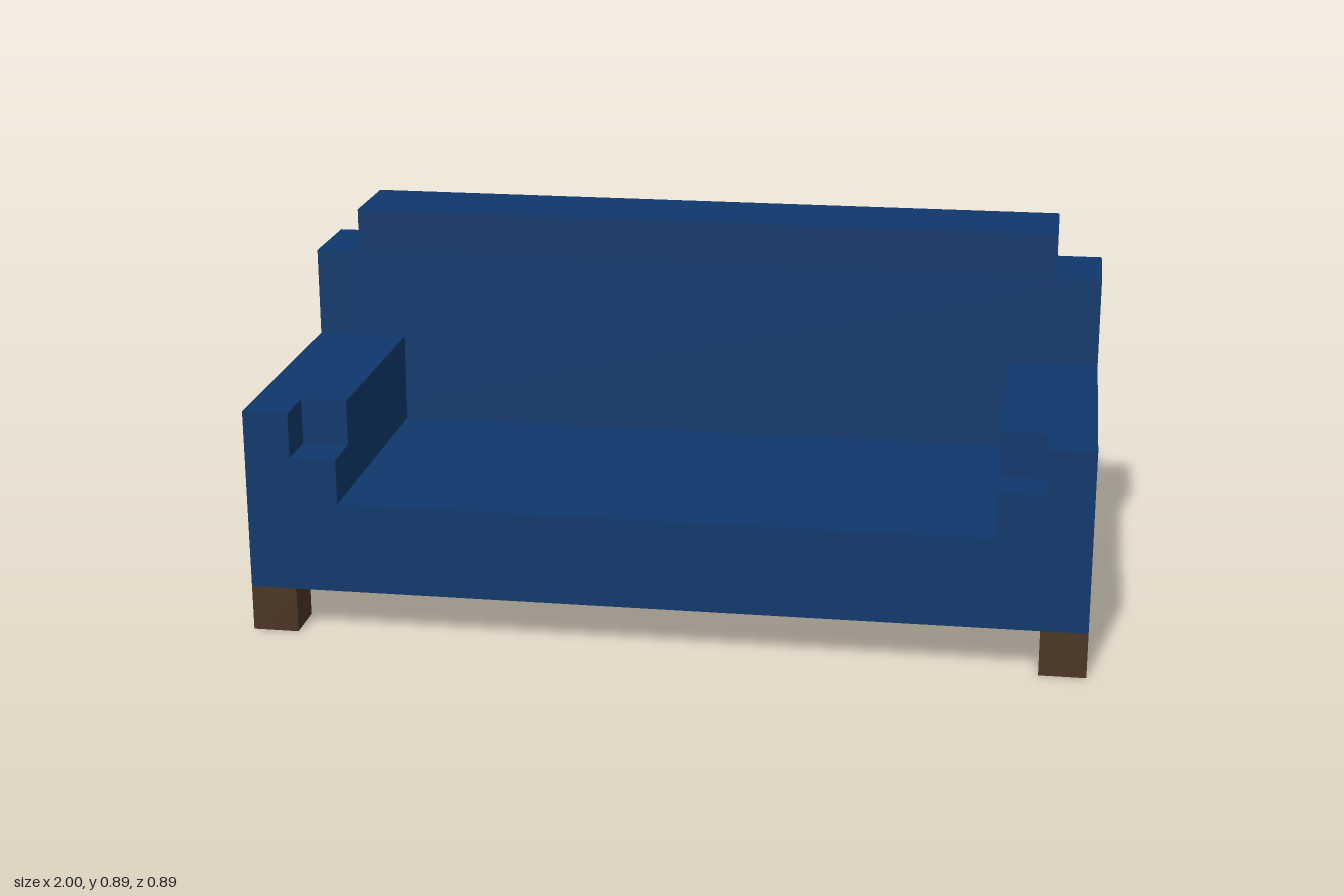
import * as THREE from 'three';

const U = 1 / 9; // everything sits on a grid of this step

export function createModel() {
  const group = new THREE.Group();
  group.name = 'sofa';

  const fabric = new THREE.MeshStandardMaterial({ color: 0x0e386c });
  fabric.name = 'blue fabric';
  const wood = new THREE.MeshStandardMaterial({ color: 0x4a3624 });
  wood.name = 'dark wood';

  // Box between two corners given in grid steps
  const block = (name, material, [x0, y0, z0], [x1, y1, z1]) => {
    const geometry = new THREE.BoxGeometry((x1 - x0) * U, (y1 - y0) * U, (z1 - z0) * U);
    const mesh = new THREE.Mesh(geometry, material);
    mesh.position.set((x0 + x1) / 2 * U, (y0 + y1) / 2 * U, (z0 + z1) / 2 * U);
    mesh.name = name;
    group.add(mesh);
  };

  // Box on one side: x is measured outward from the middle
  const sideBlock = (side, name, material, [x0, y0, z0], [x1, y1, z1]) => {
    const xs = [side * x0, side * x1].sort((a, b) => a - b);
    block(name, material, [xs[0], y0, z0], [xs[1], y1, z1]);
  };

  // Seat base
  block('seat', fabric, [-9, 1, -4], [9, 3, 4]);

  // Backrest with stepped upper corners
  const outline = [[-9, 3], [9, 3], [9, 7], [8, 7], [8, 8], [-8, 8], [-8, 7], [-9, 7]];
  const shape = new THREE.Shape(outline.map(([x, y]) => new THREE.Vector2(x * U, y * U)));
  const backrest = new THREE.Mesh(
    new THREE.ExtrudeGeometry(shape, { depth: 2 * U, bevelEnabled: false }), fabric);
  backrest.position.z = -4 * U;
  backrest.name = 'backrest';
  group.add(backrest);

  for (const side of [1, -1]) {
    const label = side > 0 ? 'left' : 'right';

    // Armrest, notched at its inner front corner
    sideBlock(side, label + 'ArmOuter', fabric, [8, 3, -2], [9, 5, 4]);
    sideBlock(side, label + 'ArmInner', fabric, [7, 3, -2], [8, 5, 3]);
    sideBlock(side, label + 'ArmStep', fabric, [7, 3, 3], [8, 4, 4]);

    // Corner legs
    sideBlock(side, label + 'FrontLeg', wood, [8, 0, 3], [9, 1, 4]);
    sideBlock(side, label + 'BackLeg', wood, [8, 0, -4], [9, 1, -3]);
  }

  return group;
}
